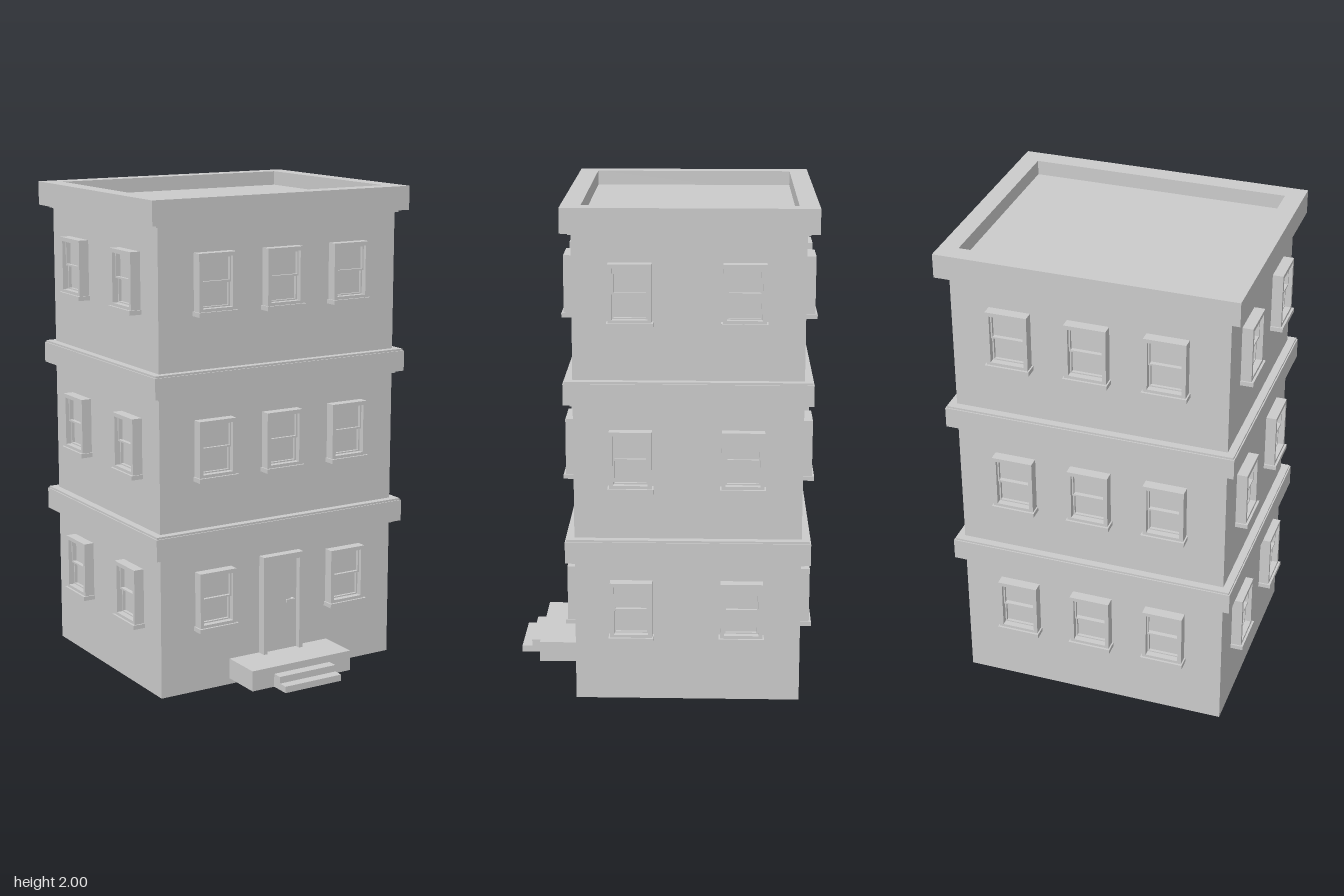
import * as THREE from 'three';

const mat = new THREE.MeshStandardMaterial({ color: 0xcccccc, flatShading: true });
const CX = -0.006, CZ = -0.105;          // centre of the building block
const HX = 0.556, HZ = 0.45;             // half sizes of the walls

function add(parent, name, geometry, x = 0, y = 0, z = 0) {
  const mesh = new THREE.Mesh(geometry, mat);
  mesh.name = name;
  mesh.position.set(x, y, z);
  parent.add(mesh);
  return mesh;
}

// box given by its limits
function box(parent, name, x0, x1, y0, y1, z0, z1) {
  return add(parent, name, new THREE.BoxGeometry(x1 - x0, y1 - y0, z1 - z0),
    (x0 + x1) / 2, (y0 + y1) / 2, (z0 + z1) / 2);
}

function rect(target, x0, x1, y0, y1) {
  target.moveTo(x0, y0);
  target.lineTo(x1, y0);
  target.lineTo(x1, y1);
  target.lineTo(x0, y1);
  target.closePath();
  return target;
}

// rectangular frame, extruded along +z
function frameGeometry(w, h, bw, bh, depth) {
  const shape = rect(new THREE.Shape(), -w / 2, w / 2, -h / 2, h / 2);
  shape.holes.push(rect(new THREE.Path(), -w / 2 + bw, w / 2 - bw, -h / 2 + bh, h / 2 - bh));
  return new THREE.ExtrudeGeometry(shape, { depth, bevelEnabled: false });
}

// double-hung window standing out from the wall plane z = 0; origin at its middle
const outerFrame = frameGeometry(0.168, 0.232, 0.016, 0.016, 0.043);
const upperSash = frameGeometry(0.138, 0.104, 0.007, 0.007, 0.012);
const lowerSash = frameGeometry(0.138, 0.104, 0.007, 0.007, 0.012);
function makeWindow() {
  const w = new THREE.Group();
  w.name = 'window';
  add(w, 'windowFrame', outerFrame);
  add(w, 'upperSash', upperSash, 0, 0.05, 0.016);
  add(w, 'lowerSash', lowerSash, 0, -0.05, 0.006);
  box(w, 'windowPane', -0.07, 0.07, -0.102, 0.102, -0.004, 0.006);
  box(w, 'windowSill', -0.09, 0.09, -0.13, -0.112, 0, 0.052);
  return w;
}

// horizontal ledge around the building with thin stepped lips
function makeLedge(y0, y1) {
  const g = new THREE.Group();
  g.name = 'floorLedge';
  const layer = (name, out, a, b) =>
    box(g, name, CX - HX - out, CX + HX + out, a, b, CZ - HZ - out, CZ + HZ + out);
  layer('ledgeUnderside', 0.012, y0 - 0.01, y0);
  layer('ledgeBand', 0.036, y0, y1 - 0.008);
  layer('ledgeTop', 0.031, y1 - 0.008, y1);
  return g;
}

export function createModel() {
  const model = new THREE.Group();
  model.name = 'apartmentBuilding';

  // main block, topped by the sunken roof
  box(model, 'walls', CX - HX, CX + HX, 0, 1.94, CZ - HZ, CZ + HZ);

  // floor ledges
  model.add(makeLedge(0.585, 0.682), makeLedge(1.232, 1.325));

  // roof parapet
  const cornice = new THREE.Shape();
  rect(cornice, -0.6, 0.6, -0.493, 0.493);
  cornice.holes.push(rect(new THREE.Path(), -0.525, 0.525, -0.415, 0.415));
  const corniceGeometry = new THREE.ExtrudeGeometry(cornice, { depth: 0.098, bevelEnabled: false });
  corniceGeometry.rotateX(-Math.PI / 2);
  add(model, 'roofParapet', corniceGeometry, CX, 1.902, CZ - 0.003);
  box(model, 'corniceUnderside', CX - HX - 0.012, CX + HX + 0.012, 1.892, 1.902,
    CZ - HZ - 0.012, CZ + HZ + 0.012);

  // windows on all four walls, three floors
  [0.389, 1.01, 1.67].forEach((y, floor) => {
    for (const x of [-0.32, -0.006, 0.31]) {
      if (floor > 0 || Math.abs(x) > 0.1) {
        const front = makeWindow();
        front.position.set(x, y, CZ + HZ);
        model.add(front);
      }
      const back = makeWindow();
      back.position.set(x, y, CZ - HZ);
      back.rotation.y = Math.PI;
      model.add(back);
    }
    for (const z of [0.12, -0.32]) {
      for (const side of [-1, 1]) {
        const win = makeWindow();
        win.position.set(CX + side * HX, y, z);
        win.rotation.y = side * Math.PI / 2;
        model.add(win);
      }
    }
  });

  // front door with its surround and handle
  const door = new THREE.Group();
  door.name = 'frontDoor';
  door.position.set(-0.005, 0.11, CZ + HZ);
  model.add(door);
  const surround = new THREE.Shape();
  [[-0.096, 0], [-0.078, 0], [-0.078, 0.39], [0.078, 0.39], [0.078, 0], [0.096, 0],
    [0.096, 0.415], [-0.096, 0.415]].forEach(([x, y], i) =>
    i ? surround.lineTo(x, y) : surround.moveTo(x, y));
  add(door, 'doorSurround', new THREE.ExtrudeGeometry(surround, { depth: 0.037, bevelEnabled: false }));
  box(door, 'doorLeaf', -0.078, 0.078, 0, 0.39, -0.005, 0.012);
  const knob = new THREE.CylinderGeometry(0.008, 0.008, 0.014, 12).rotateX(Math.PI / 2);
  add(door, 'handleMount', knob, 0.057, 0.21, 0.018);
  box(door, 'handleLever', 0.02, 0.062, 0.204, 0.216, 0.022, 0.03);

  // entrance platform and steps
  box(model, 'platform', -0.243, 0.233, 0.025, 0.11, 0.3, 0.523);
  box(model, 'upperStep', -0.14, 0.13, 0.025, 0.08, 0.5, 0.566);
  box(model, 'lowerStep', -0.14, 0.13, 0.025, 0.052, 0.5, 0.608);

  return model;
}
